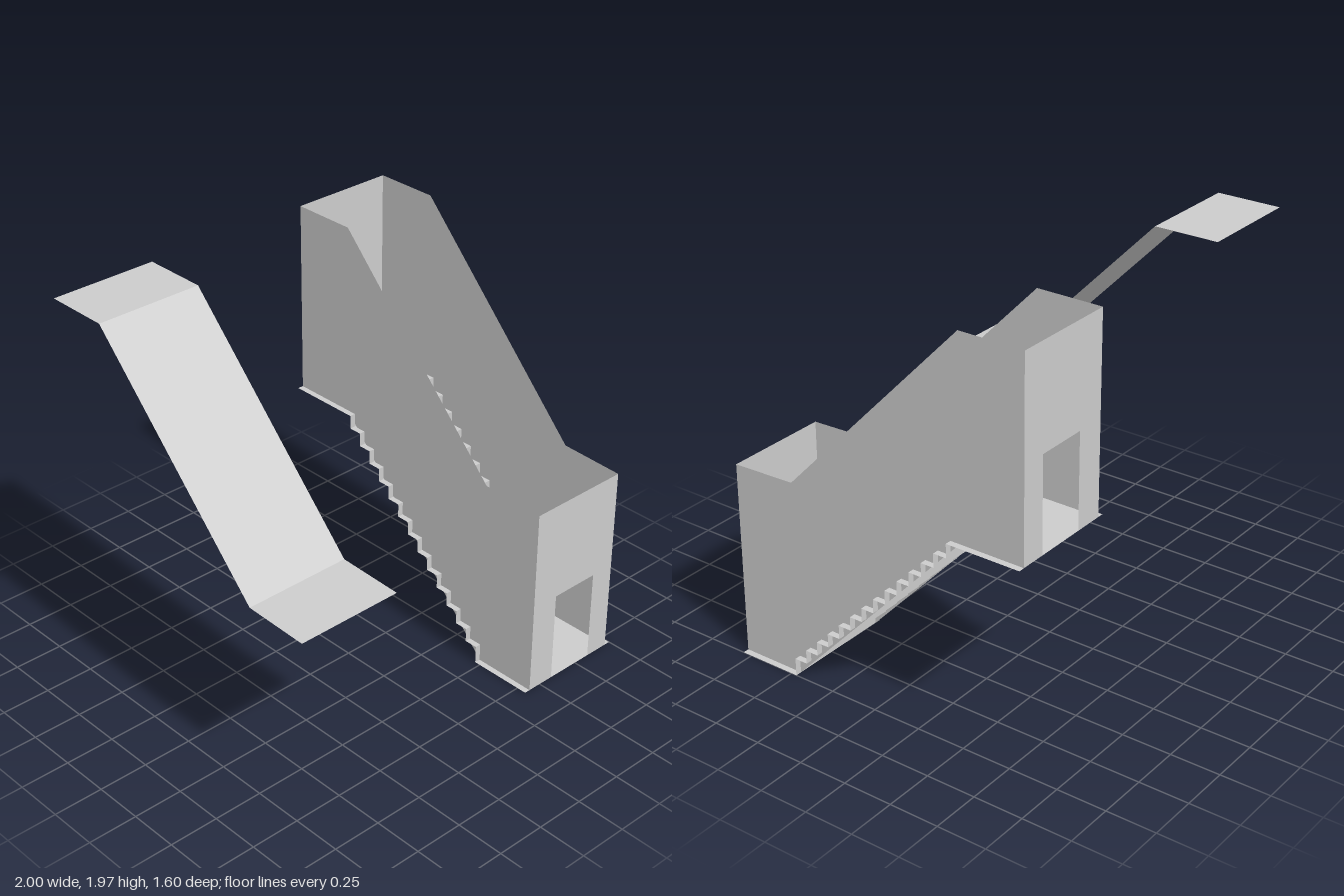
import * as THREE from 'three';

const material = new THREE.MeshStandardMaterial({ color: 0xcccccc, side: THREE.DoubleSide, flatShading: true });

function addMesh(group, name, geometry) {
  const mesh = new THREE.Mesh(geometry, material);
  mesh.name = name;
  group.add(mesh);
  return mesh;
}

// Thin folded sheet: a [z, y] path swept across x0..x1, its normals facing up
function foldedSheet(path, x0, x1) {
  const positions = [];
  for (let i = 0; i < path.length - 1; i++) {
    const [za, ya] = path[i], [zb, yb] = path[i + 1];
    positions.push(x0, ya, za, x1, ya, za, x1, yb, zb);
    positions.push(x0, ya, za, x1, yb, zb, x0, yb, zb);
  }
  const geometry = new THREE.BufferGeometry();
  geometry.setAttribute('position', new THREE.Float32BufferAttribute(positions, 3));
  geometry.computeVertexNormals();
  return geometry;
}

// End wall with a doorway notched into its lower edge
function doorWall(bottom, top) {
  const [left, right, doorLeft, doorRight, doorHeight] = [0.43, 0.968, 0.58, 0.84, 0.47];
  return new THREE.ShapeGeometry(new THREE.Shape([
    [left, bottom], [doorLeft, bottom], [doorLeft, bottom + doorHeight],
    [doorRight, bottom + doorHeight], [doorRight, bottom], [right, bottom],
    [right, top], [left, top],
  ].map(p => new THREE.Vector2(...p))));
}

export function createModel() {
  const model = new THREE.Group();
  model.name = 'coveredStaircase';

  // Stair sheet: lower landing, 14 risers, upper landing
  const risers = 14, firstRise = 0.09, startZ = 0.47, endZ = -0.42, topY = 0.997;
  const path = [[0.8, 0]];
  let y = 0;
  for (let i = 0; i < risers; i++) {
    const z = THREE.MathUtils.lerp(startZ, endZ, i / (risers - 1));
    path.push([z, y]);
    y = THREE.MathUtils.lerp(firstRise, topY, i / (risers - 1));
    path.push([z, y]);
  }
  path.push([-0.8, topY]);
  addMesh(model, 'stairs', foldedSheet(path, 0.4, 1));

  // Side walls follow the slope of the stairs
  const sideShape = new THREE.Shape([
    [0.8, 0], [0.47, 0], [-0.47, topY], [-0.8, topY],
    [-0.8, 1.97], [-0.47, 1.97], [0.47, 0.99], [0.8, 0.98],
  ].map(p => new THREE.Vector2(...p)));
  for (const [name, x] of [['rightWall', 0.43], ['leftWall', 0.968]]) {
    const geometry = new THREE.ShapeGeometry(sideShape).rotateY(-Math.PI / 2);
    addMesh(model, name, geometry).position.x = x;
  }

  // End walls with doorways
  addMesh(model, 'frontWall', doorWall(0, 0.98)).position.z = 0.8;
  addMesh(model, 'backWall', doorWall(topY, 1.97)).position.z = -0.8;

  // Detached roof sheet set beside the staircase
  const roofPath = [[0.8, 0.98], [0.47, 0.99], [-0.475, 1.97], [-0.8, 1.97]];
  addMesh(model, 'roof', foldedSheet(roofPath, -1, -0.46));

  return model;
}
